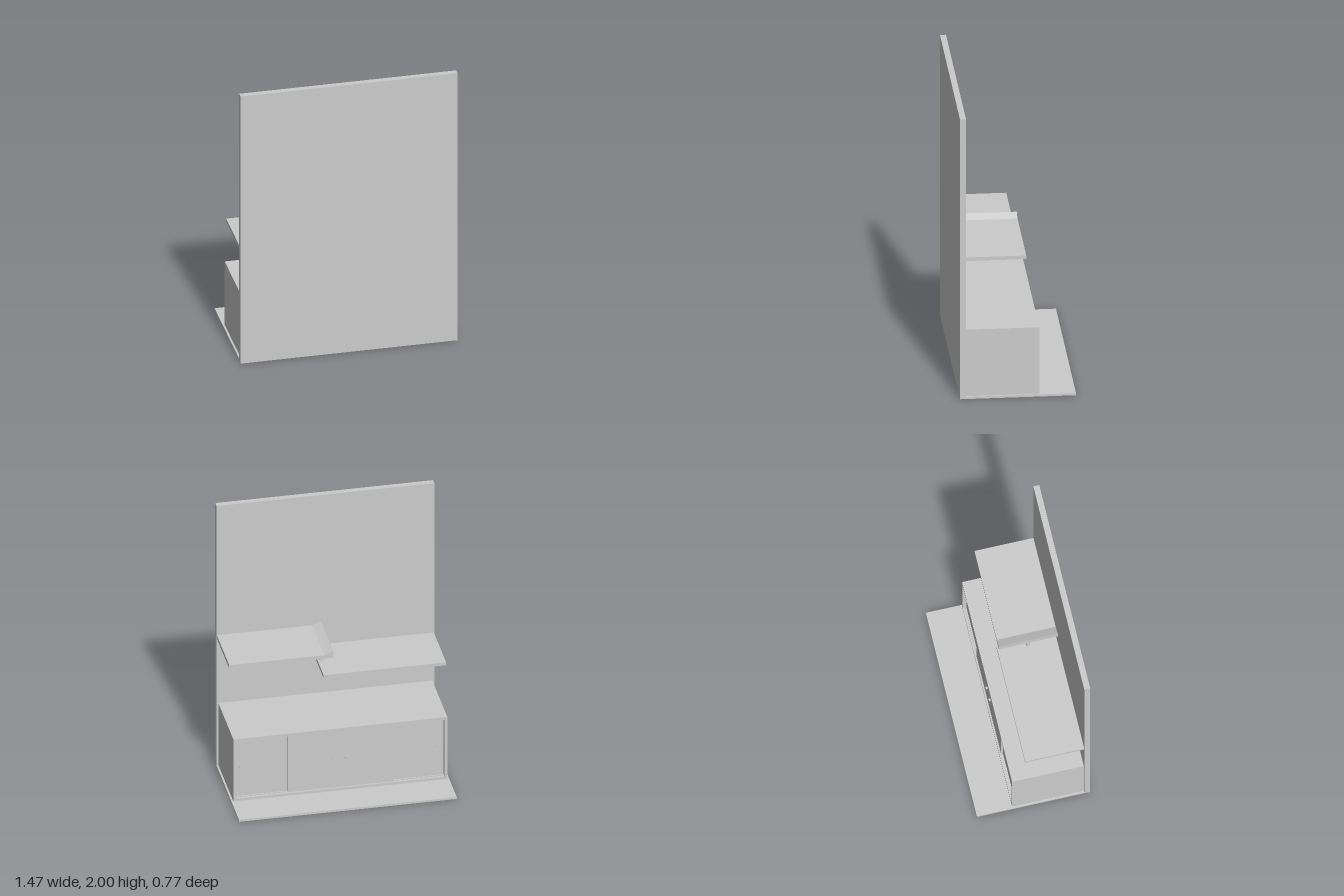
import * as THREE from 'three';

const material = new THREE.MeshStandardMaterial({ color: 0xcccccc, flatShading: true });

export function createModel() {
  const model = new THREE.Group();
  model.name = 'wallUnit';

  // Box given by its minimum and maximum on each axis
  function box(name, [x0, x1], [y0, y1], [z0, z1], parent = model) {
    const mesh = new THREE.Mesh(new THREE.BoxGeometry(x1 - x0, y1 - y0, z1 - z0), material);
    mesh.position.set((x0 + x1) / 2, (y0 + y1) / 2, (z0 + z1) / 2);
    mesh.name = name;
    parent.add(mesh);
    return mesh;
  }

  const wallZ = 0.345;

  // Wall and floor
  box('wallPanel', [-0.735, 0.735], [0, 2], [wallZ, 0.385]);
  box('floorPanel', [-0.735, 0.735], [0, 0.015], [-0.385, wallZ]);

  // Lower shelf and the post that joins it to the upper shelf
  const shelfZ = [-0.055, wallZ];
  box('lowerShelf', [-0.732, 0.095], [0.835, 0.857], shelfZ);
  box('shelfPost', [0.055, 0.079], [0.857, 0.986], [0.138, 0.162]);

  // Upper shelf with a ramped lip at its inner end
  const profile = new THREE.Shape();
  profile.moveTo(0.03, 0.985);
  profile.lineTo(0.732, 0.985);
  profile.lineTo(0.732, 1.01);
  profile.lineTo(0.09, 1.01);
  profile.lineTo(0.03, 1.035);
  profile.closePath();
  const upper = new THREE.Mesh(
    new THREE.ExtrudeGeometry(profile, { depth: shelfZ[1] - shelfZ[0], bevelEnabled: false }), material);
  upper.position.z = shelfZ[0];
  upper.name = 'upperShelf';
  model.add(upper);

  // Cabinet carcass, open towards -z
  const cabinet = new THREE.Group();
  cabinet.name = 'cabinet';
  model.add(cabinet);
  const w = 0.722, t = 0.02, y0 = 0.015, y1 = 0.49, frontZ = -0.142;
  const depth = [frontZ, wallZ];
  box('cabinetTop', [-w, w], [y1 - t, y1], depth, cabinet);
  box('cabinetBottom', [-w, w], [y0, y0 + t], depth, cabinet);
  for (const s of [-1, 1]) {
    const x = s * (w - t / 2);
    box('cabinetSide', [x - t / 2, x + t / 2], [y0 + t, y1 - t], depth, cabinet);
  }
  box('cabinetBack', [-w + t, w - t], [y0 + t, y1 - t], [wallZ - 0.01, wallZ], cabinet);

  // Sliding doors: inner pair on the front track, outer pair behind it
  const inner = w - t, mid = 0.355;
  const doorY = [y0 + t, y1 - t];
  const frontTrack = frontZ + 0.012, rearTrack = frontZ + 0.025;
  function door(x0, x1, z, knobX) {
    const group = new THREE.Group();
    group.name = 'slidingDoor';
    cabinet.add(group);
    box('doorPanel', [x0, x1], doorY, [z, z + 0.012], group);
    const knob = new THREE.Mesh(new THREE.CylinderGeometry(0.01, 0.01, 0.012, 16), material);
    knob.rotation.x = Math.PI / 2;
    knob.position.set(knobX, 0.26, z - 0.006);
    knob.name = 'doorKnob';
    group.add(knob);
  }
  door(-inner, -mid + 0.01, rearTrack, -0.665);
  door(-mid, -0.001, frontTrack, -0.043);
  door(0.001, mid, frontTrack, 0.043);
  door(mid - 0.01, inner, rearTrack, 0.665);

  // Low guide rails in front of the outer doors
  for (const [x0, x1] of [[-inner, -mid], [mid, inner]]) {
    for (const y of [y0 + t, y1 - t - 0.006]) {
      box('doorRail', [x0, x1], [y, y + 0.006], [frontTrack + 0.004, rearTrack], cabinet);
    }
  }
  return model;
}
